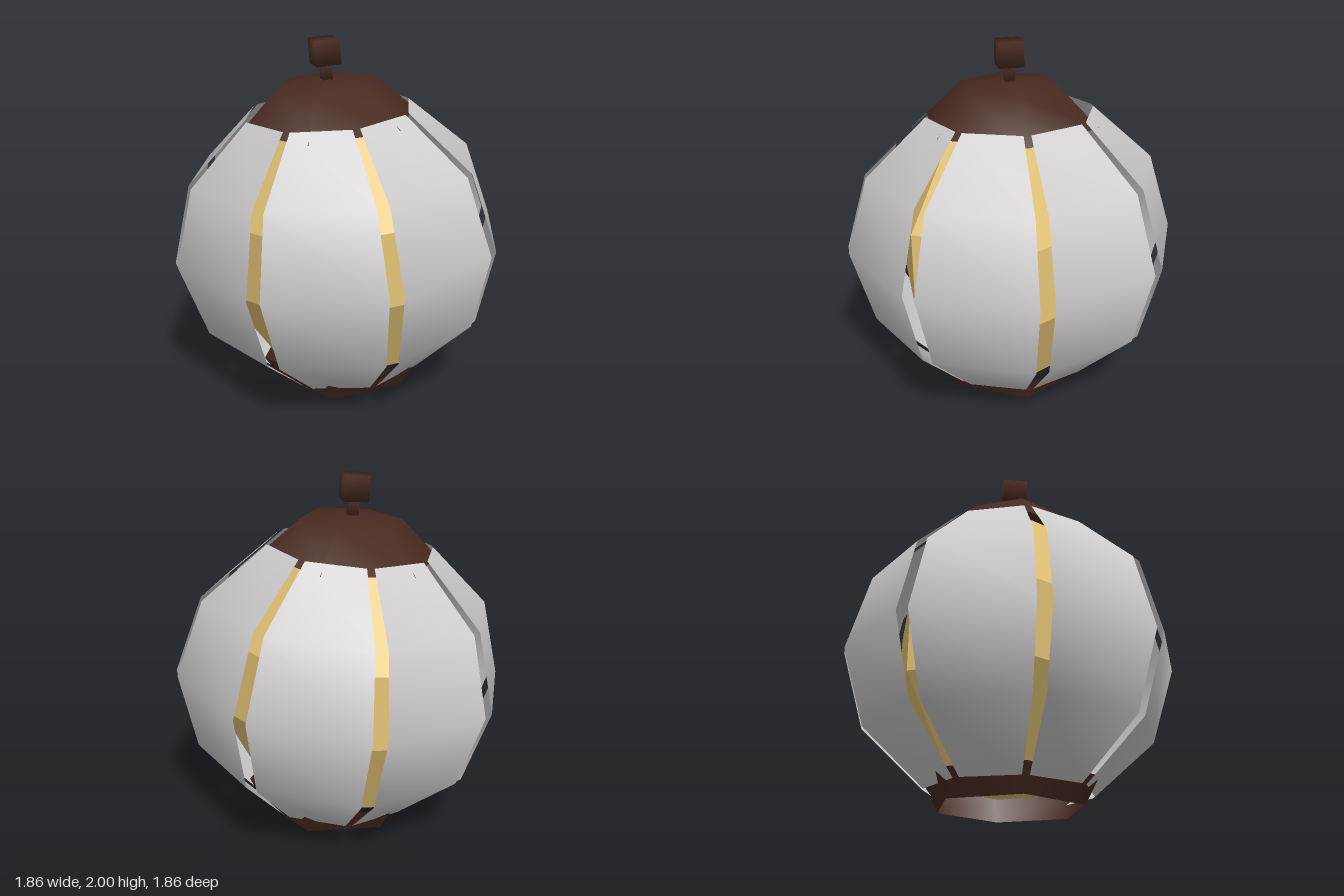
import * as THREE from 'three';

const paper = new THREE.MeshStandardMaterial({ color: 0xcfcdce, side: THREE.DoubleSide });
paper.name = 'grey paper';
const gold = new THREE.MeshStandardMaterial({ color: 0xe6c577, flatShading: true });
gold.name = 'glowing gold';
const wood = new THREE.MeshStandardMaterial({ color: 0x482a20, side: THREE.DoubleSide });
wood.name = 'dark wood';

function add(parent, name, geometry, material, x = 0, y = 0) {
  const mesh = new THREE.Mesh(geometry, material);
  mesh.name = name;
  mesh.position.set(x, y, 0);
  parent.add(mesh);
  return mesh;
}

// turned part from a profile of [radius, height] running bottom to top;
// by default six-sided with corners on the x axis
function turned(profile, sides = 6, start = Math.PI / 2, sweep = Math.PI * 2) {
  const points = profile.map(([r, y]) => new THREE.Vector2(r, y));
  return new THREE.LatheGeometry(points, sides, start, sweep);
}

// box shaded softly, with normals pointing away from its centre
function softBox(w, h) {
  const box = new THREE.BoxGeometry(w, h, w);
  box.attributes.normal.copy(box.attributes.position);
  box.normalizeNormals();
  return box;
}

export function createModel() {
  const model = new THREE.Group();
  model.name = 'lantern';

  // the whole lantern leans slightly; its origin is the centre of the body
  const body = new THREE.Group();
  body.name = 'leaningBody';
  body.position.y = 0.86;
  body.rotation.z = 0.073;
  model.add(body);

  // glowing hexagonal core behind the gaps
  add(body, 'core', turned([
    [0, -0.7], [0.41, -0.7], [0.695, -0.21], [0.695, 0.21], [0.41, 0.7], [0, 0.7],
  ]), gold);

  // eight paper panels, flat across and curved in height, with narrow gaps between
  const panels = new THREE.Group();
  panels.name = 'panels';
  body.add(panels);
  const panelProfile = [
    [0.466, -0.746], [0.807, -0.431], [0.932, 0], [0.807, 0.431], [0.466, 0.746],
  ];
  const gap = 0.042;
  for (let i = 0; i < 8; i++) {
    const panel = turned(panelProfile, 1, (i * Math.PI) / 4 + gap, Math.PI / 4 - 2 * gap);
    panel.computeVertexNormals();
    add(panels, 'panel' + (i + 1), panel, paper);
  }

  // hexagonal foot and cap, whose corners poke through the panels
  add(body, 'footRing', turned([[0.42, -0.83], [0.5, -0.68]]), wood);
  add(body, 'cap', turned([[0.5, 0.69], [0.28, 0.895], [0, 0.917]]), wood);

  // finial
  add(body, 'finialStem', softBox(0.055, 0.12), wood, 0.003, 0.95);
  add(body, 'finialBlock', softBox(0.137, 0.137), wood, 0.003, 1.066);

  return model;
}
